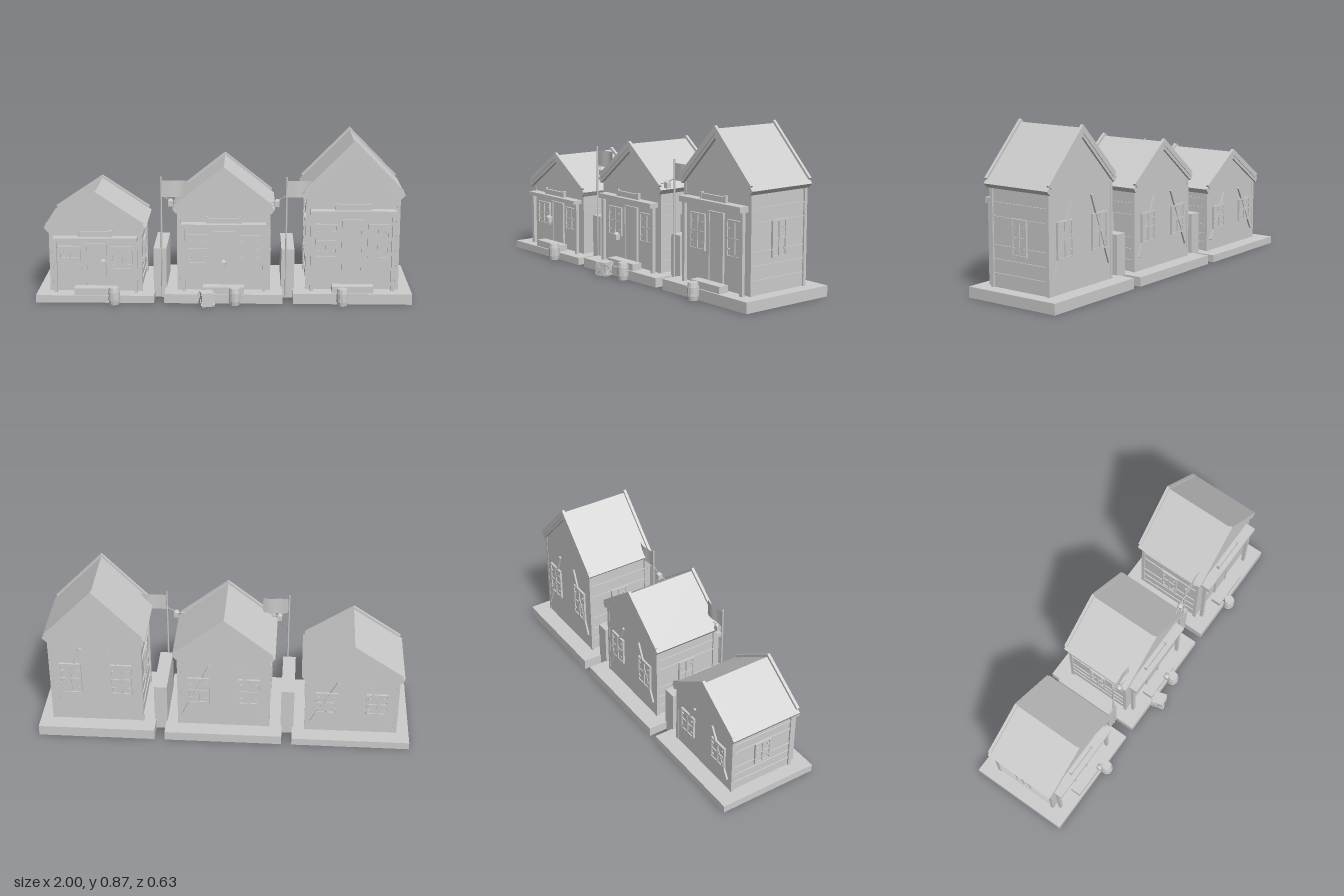
import * as THREE from 'three';

const grey = new THREE.MeshStandardMaterial({ color: 0xcccccc });
grey.name = 'plain grey';
const greyCloth = new THREE.MeshStandardMaterial({ color: 0xcccccc, side: THREE.DoubleSide });
greyCloth.name = 'plain grey cloth';

function add(parent, name, geometry, x = 0, y = 0, z = 0, material = grey) {
  const mesh = new THREE.Mesh(geometry, material);
  mesh.name = name;
  mesh.position.set(x, y, z);
  parent.add(mesh);
  return mesh;
}

// Box given by its minimum and maximum corners
function span(parent, name, x0, x1, y0, y1, z0, z1) {
  return add(parent, name, new THREE.BoxGeometry(x1 - x0, y1 - y0, z1 - z0),
    (x0 + x1) / 2, (y0 + y1) / 2, (z0 + z1) / 2);
}

// Outline in the xy plane, extruded from z0 to z1
function slab(parent, name, points, z0, z1) {
  const shape = new THREE.Shape(points.map(p => new THREE.Vector2(p[0], p[1])));
  const geometry = new THREE.ExtrudeGeometry(shape, { depth: z1 - z0, bevelEnabled: false });
  return add(parent, name, geometry, 0, 0, z0);
}

// Peaked band: top line falls from the apex, ends are cut square to the slope
function chevron(apex, slope, half, t) {
  const a = Math.atan(slope);
  const y = apex - slope * half;
  const ix = half - t * Math.sin(a), iy = y - t * Math.cos(a);
  return [[0, apex], [-half, y], [-ix, iy], [0, apex - t / Math.cos(a)], [ix, iy], [half, y]];
}

// Window lying in the xy plane and facing +z
function makeWindow(w, h) {
  const g = new THREE.Group();
  g.name = 'window';
  const b = 0.008;
  span(g, 'windowShutterPanel', -w / 2, w / 2, -h / 2, h / 2, 0, 0.006);
  for (const s of [-1, 1]) {
    add(g, 'windowStile', new THREE.BoxGeometry(b, h, 0.012), s * (w / 2 - b / 2), 0, 0.006);
    add(g, 'windowRail', new THREE.BoxGeometry(w, b, 0.012), 0, s * (h / 2 - b / 2), 0.006);
    add(g, 'windowHinge', new THREE.BoxGeometry(0.012, 0.006, 0.015), s * w * 0.36, h * 0.28, 0.006);
    add(g, 'windowHinge', new THREE.BoxGeometry(0.012, 0.006, 0.015), s * w * 0.36, -h * 0.28, 0.006);
  }
  add(g, 'windowMullion', new THREE.BoxGeometry(b, h, 0.012), 0, 0, 0.006);
  add(g, 'windowTransom', new THREE.BoxGeometry(w, b * 0.8, 0.011), 0, 0, 0.006);
  return g;
}

function makeLantern() {
  const g = new THREE.Group();
  g.name = 'lantern';
  add(g, 'lanternBody', new THREE.BoxGeometry(0.026, 0.03, 0.026), 0, 0.015, 0);
  const cap = add(g, 'lanternCap', new THREE.CylinderGeometry(0.008, 0.019, 0.01, 4), 0, 0.035, 0);
  cap.rotation.y = Math.PI / 4;
  return g;
}

function makeBarrel() {
  const g = new THREE.Group();
  g.name = 'barrel';
  const profile = [[0, 0], [0.026, 0], [0.031, 0.03], [0.031, 0.062], [0.026, 0.092], [0, 0.092]]
    .map(p => new THREE.Vector2(p[0], p[1]));
  const body = new THREE.LatheGeometry(profile, 12).toNonIndexed();
  body.computeVertexNormals();
  add(g, 'barrelBody', body);
  for (const y of [0.026, 0.066]) {
    add(g, 'barrelHoop', new THREE.CylinderGeometry(0.0325, 0.0325, 0.006, 12), 0, y, 0);
  }
  return g;
}

function makeCrate() {
  const g = new THREE.Group();
  g.name = 'crate';
  add(g, 'crateBody', new THREE.BoxGeometry(0.068, 0.074, 0.068), 0, 0.037, 0);
  for (let i = 0; i < 4; i++) {
    const side = new THREE.Group();
    side.name = 'crateSide';
    side.rotation.y = i * Math.PI / 2;
    g.add(side);
    for (const s of [-1, 1]) {
      const bar = add(side, 'crateBrace', new THREE.BoxGeometry(0.088, 0.009, 0.005), 0, 0.037, 0.035);
      bar.rotation.z = s * Math.PI / 4;
    }
  }
  return g;
}

function makeHouse({ base, wall, apex, slope }) {
  const g = new THREE.Group();
  g.name = 'house';
  const at = f => base + wall * f;
  const W = 0.24, front = 0.15, back = -0.225, t = 0.032;
  span(g, 'plinth', -0.315, 0.315, 0, base, -0.315, 0.24);

  // Gabled walls reach the underside of the roof
  const ridge = apex - t * Math.hypot(1, slope);
  const eave = ridge - slope * W;
  slab(g, 'walls', [[-W, base], [W, base], [W, eave], [0, ridge], [-W, eave]], back, front);
  slab(g, 'roof', chevron(apex, slope, 0.272, t), -0.238, 0.168);
  for (const [z0, z1] of [[-0.242, -0.226], [0.156, 0.172]]) {
    slab(g, 'bargeBoard', chevron(apex + 0.016, slope, 0.262, 0.028), z0, z1);
  }

  const h = wall * 0.375, mid = at(0.535);
  for (const s of [-1, 1]) {
    // Corner boards and horizontal siding battens
    for (const z of [front - 0.007, back + 0.007]) {
      span(g, 'cornerBoard', s * 0.24 - 0.009, s * 0.24 + 0.009, base, eave, z - 0.009, z + 0.009);
    }
    for (const i of [1, 2, 3, 5, 6]) {
      add(g, 'sidingBatten', new THREE.BoxGeometry(0.012, 0.006, 0.345), s * W, at(i / 7), -0.0375);
    }
    // Windows on the sides, front and back
    const sideWindow = makeWindow(0.095, h);
    sideWindow.position.set(s * W, mid, -0.0375);
    sideWindow.rotation.y = s * Math.PI / 2;
    const frontWindow = makeWindow(0.115, h);
    frontWindow.position.set(s * 0.138, mid, front);
    const backWindow = makeWindow(0.115, h);
    backWindow.position.set(s * 0.135, mid, back);
    backWindow.rotation.y = Math.PI;
    g.add(sideWindow, frontWindow, backWindow);

    // Slanted timber behind each back window
    const dx = -0.14, dy = wall * 0.74;
    const brace = add(g, 'backBrace', new THREE.BoxGeometry(0.012, Math.hypot(dx, dy), 0.012),
      s * 0.145, at(0.55), back - 0.004);
    brace.rotation.z = s * Math.atan2(-dx, dy);

    add(g, 'porchPost', new THREE.BoxGeometry(0.018, wall * 0.83, 0.018), s * 0.215, at(0.415), 0.177);
    add(g, 'signEnd', new THREE.BoxGeometry(0.012, 0.036, 0.016), s * 0.088, at(0.885) + 0.018, 0.172);
  }

  span(g, 'porchBeam', -0.225, 0.225, at(0.825), at(0.885), 0.15, 0.205);
  span(g, 'signBoard', -0.085, 0.085, at(0.885), at(0.885) + 0.028, 0.164, 0.178);
  span(g, 'door', -0.048, 0.048, base, at(0.75), front, front + 0.006);
  for (const s of [-1, 1]) {
    span(g, 'doorJamb', s * 0.052 - 0.005, s * 0.052 + 0.005, base, at(0.77), front, front + 0.011);
  }
  span(g, 'doorLintel', -0.057, 0.057, at(0.75), at(0.77), front, front + 0.012);
  span(g, 'step', -0.11, 0.11, base, base + 0.036, 0.172, 0.23);
  return g;
}

// Flagpole with waving flag, plus a line to the nearest eave holding a lantern
function makeFlagpole(x, reach) {
  const g = new THREE.Group();
  g.name = 'flagpole';
  g.position.set(x, 0, 0.13);
  add(g, 'pole', new THREE.CylinderGeometry(0.005, 0.005, 0.665, 8), 0, 0.3325, 0);
  const cloth = new THREE.PlaneGeometry(0.14, 0.09, 10, 1);
  const p = cloth.attributes.position;
  for (let i = 0; i < p.count; i++) {
    const u = p.getX(i) / 0.14 + 0.5;
    p.setZ(i, Math.sin(u * 7) * 0.006 * u);
  }
  cloth.computeVertexNormals();
  add(g, 'flag', cloth, 0.072, 0.6, 0, greyCloth);
  const line = new THREE.QuadraticBezierCurve3(new THREE.Vector3(0, 0.565, 0),
    new THREE.Vector3(reach * 0.5, 0.535, 0.005), new THREE.Vector3(reach, 0.525, 0.01));
  add(g, 'lanternLine', new THREE.TubeGeometry(line, 8, 0.0025, 5));
  const lantern = makeLantern();
  lantern.position.set(reach * 0.5, 0.508, 0.005);
  g.add(lantern);
  return g;
}

export function createModel() {
  const model = new THREE.Group();
  model.name = 'houseRow';
  const place = (part, x, y, z) => { part.position.set(x, y, z); model.add(part); return part; };

  // Three houses growing taller to one side
  place(makeHouse({ base: 0.04, wall: 0.345, apex: 0.578, slope: 0.67 }), -0.685, 0, 0);
  place(makeHouse({ base: 0.05, wall: 0.422, apex: 0.712, slope: 0.79 }), 0, 0, 0);
  place(makeHouse({ base: 0.057, wall: 0.5, apex: 0.855, slope: 1.02 }), 0.685, 0, 0);

  // Alley walls and flagpoles between the houses
  for (const s of [-1, 1]) {
    span(model, 'alleyWall', s * 0.343 - 0.035, s * 0.343 + 0.035, 0, 0.27, -0.21, 0.13);
    model.add(makeFlagpole(s * 0.333, -s * 0.1));
  }

  // Barrels, crate and lanterns in front
  for (const x of [-0.58, 0.06, 0.63]) place(makeBarrel(), x, 0, 0.257);
  place(makeCrate(), -0.088, 0, 0.268).rotation.y = 0.28;
  for (const x of [-0.634, 0]) place(makeLantern(), x, 0.206, 0.253);
  return model;
}
